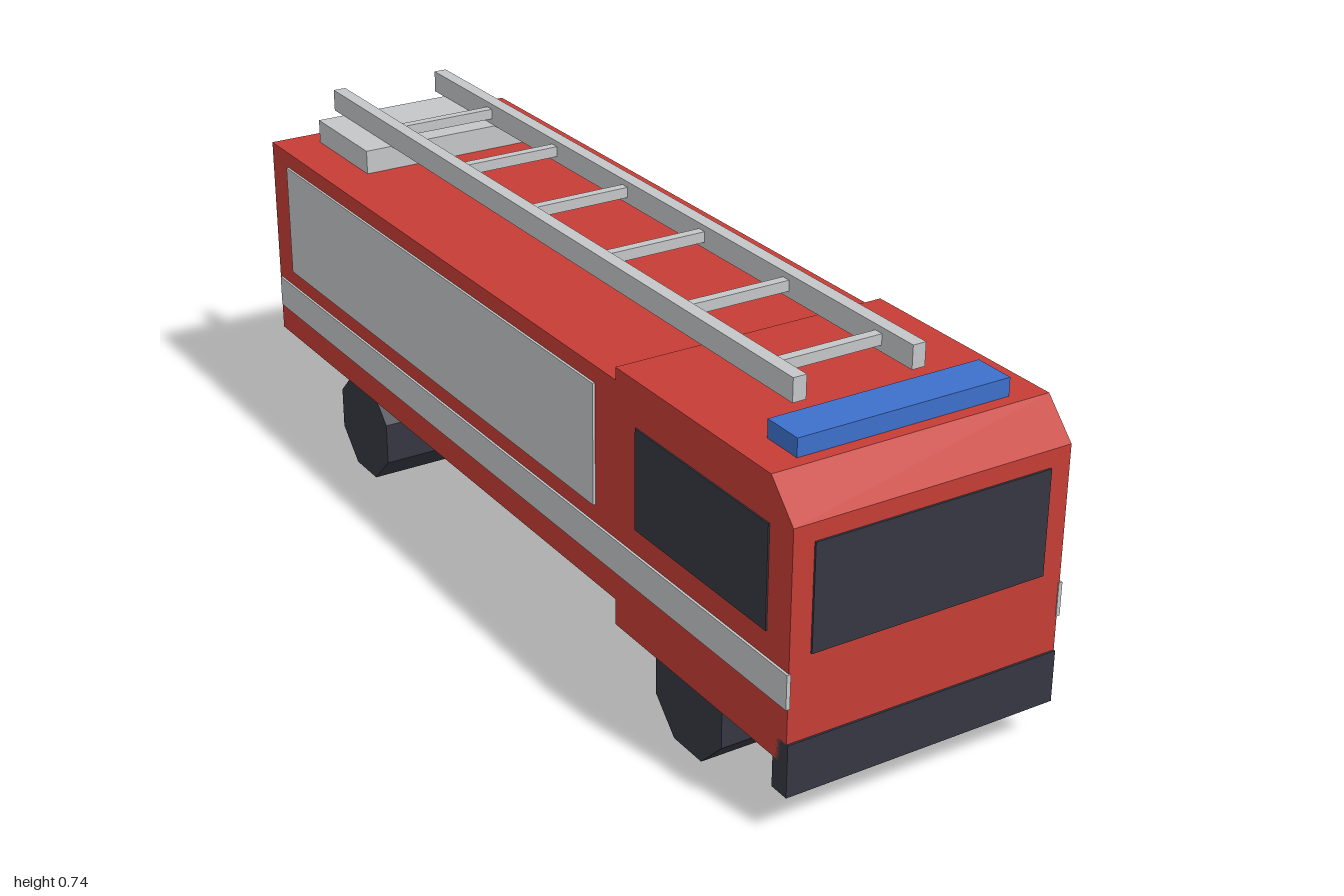
import * as THREE from 'three';

const material = (name, color) => {
  const m = new THREE.MeshStandardMaterial({ color });
  m.name = name;
  return m;
};

export function createModel() {
  const red = material('red paint', 0xc63d36);
  const silver = material('silver', 0xc4c6c8);
  const dark = material('dark grey', 0x363642);
  const blue = material('beacon blue', 0x3d70cc);
  const truck = new THREE.Group();
  truck.name = 'fireTruck';

  const add = (name, geometry, mat) => {
    const mesh = new THREE.Mesh(geometry, mat);
    mesh.name = name;
    truck.add(mesh);
    return mesh;
  };
  // Box given by its limits on each axis
  const box = (name, mat, [x0, x1], [y0, y1], [z0, z1]) => {
    const g = new THREE.BoxGeometry(x1 - x0, y1 - y0, z1 - z0);
    g.translate((x0 + x1) / 2, (y0 + y1) / 2, (z0 + z1) / 2);
    return add(name, g, mat);
  };

  // Rear body and chassis
  box('rearBody', red, [-0.29, 0.29], [0.2, 0.645], [-1, 0.45]);
  box('chassis', dark, [-0.2, 0.2], [0.12, 0.21], [-0.965, 0.945]);

  // Cab: side profile with a sloped brow, extruded across the width
  const profile = new THREE.Shape(
    [[0.45, 0.147], [0.996, 0.147], [0.996, 0.6], [0.93, 0.67], [0.45, 0.67]]
      .map(([z, y]) => new THREE.Vector2(-z, y)));
  const cab = new THREE.ExtrudeGeometry(profile, { depth: 0.58, bevelEnabled: false });
  cab.translate(0, 0, -0.29).rotateY(Math.PI / 2);
  add('cab', cab, red);

  // Front details
  box('windscreen', dark, [-0.247, 0.247], [0.355, 0.565], [0.993, 1]);
  box('bumper', dark, [-0.29, 0.29], [0.085, 0.19], [0.957, 1]);
  box('lightBar', blue, [-0.222, 0.222], [0.668, 0.706], [0.82, 0.905]);

  // Details mirrored on both sides
  for (const [side, s] of [['left', 1], ['right', -1]]) {
    const span = (a, b) => (s > 0 ? [a, b] : [-b, -a]);
    box(side + 'Window', dark, span(0.287, 0.293), [0.378, 0.58], [0.52, 0.93]);
    box(side + 'Shutter', silver, span(0.287, 0.295), [0.365, 0.611], [-0.92, 0.38]);
    box(side + 'Stripe', silver, span(0.287, 0.295), [0.26, 0.328], [-0.99, 0.998]);
    box(side + 'LadderRail', silver, span(0.112, 0.14), [0.695, 0.742], [-0.99, 0.775]);
  }

  // Ladder mount and rungs
  box('ladderMount', silver, [-0.2, 0.2], [0.64, 0.696], [-0.945, -0.71]);
  for (let i = 0; i < 6; i++) {
    const z = 0.677 - i * 0.282;
    box('ladderRung' + (i + 1), silver, [-0.115, 0.115], [0.708, 0.73], [z - 0.01, z + 0.01]);
  }

  // Full-width eight-sided wheel pairs resting on a flat
  const apothem = 0.1075;
  const radius = apothem / Math.cos(Math.PI / 8);
  for (const [name, z] of [['frontWheels', 0.683], ['rearWheels', -0.612]]) {
    const g = new THREE.CylinderGeometry(radius, radius, 0.562, 8).toNonIndexed();
    g.rotateY(Math.PI / 8).rotateZ(Math.PI / 2);
    g.computeVertexNormals();
    add(name, g, dark).position.set(0, apothem, z);
  }
  return truck;
}
